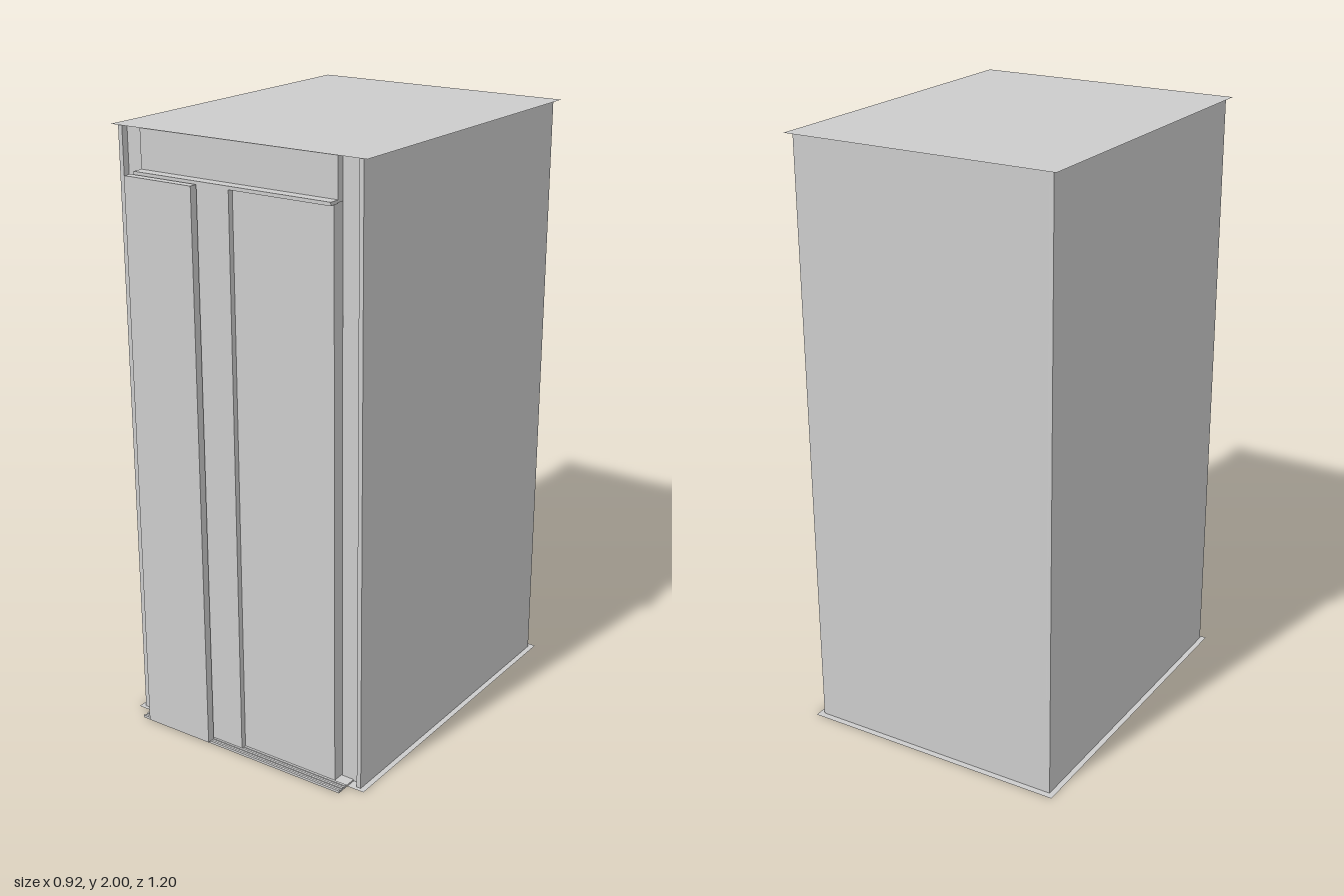
import * as THREE from 'three';

export function createModel() {
  const model = new THREE.Group();
  model.name = 'liftCabin';
  const steel = new THREE.MeshStandardMaterial({ color: 0xcccccc, side: THREE.DoubleSide });
  steel.name = 'grey steel';

  // Box given by its limits on each axis
  function box(name, [x0, x1], [y0, y1], [z0, z1]) {
    const mesh = new THREE.Mesh(new THREE.BoxGeometry(x1 - x0, y1 - y0, z1 - z0), steel);
    mesh.position.set((x0 + x1) / 2, (y0 + y1) / 2, (z0 + z1) / 2);
    mesh.name = name;
    model.add(mesh);
  }

  // Sheet-thin roof and floor, overhanging the walls
  function sheet(name, y, tilt) {
    const mesh = new THREE.Mesh(new THREE.PlaneGeometry(0.92, 1.142), steel);
    mesh.rotation.x = tilt;
    mesh.position.set(0, y, -0.029);
    mesh.name = name;
    model.add(mesh);
  }
  sheet('roof', 2, -Math.PI / 2);
  sheet('floor', 0, Math.PI / 2);

  // Walls and front jambs, mirrored
  const full = [0.001, 1.999];
  for (const [side, s] of [['left', 1], ['right', -1]]) {
    const span = (a, b) => (s > 0 ? [a, b] : [-b, -a]);
    box(side + 'Wall', span(0.427, 0.442), full, [-0.58, 0.53]);
    box(side + 'Jamb', span(0.357, 0.427), full, [0.49, 0.507]);
  }
  box('backWall', [-0.427, 0.427], full, [-0.58, -0.565]);

  // Panel above the door and the ledge below it
  box('transom', [-0.357, 0.357], [1.865, 1.999], [0.49, 0.53]);
  box('doorHeader', [-0.357, 0.357], [1.862, 1.873], [0.53, 0.566]);

  // Sliding door panels, stepped one behind the other
  box('rearDoorPanel', [0, 0.355], [0.008, 1.864], [0.5, 0.547]);
  box('middleDoorPanel', [-0.357, 0], [0.008, 1.864], [0.5, 0.566]);
  box('frontDoorPanel', [-0.365, -0.112], [0.008, 1.865], [0.573, 0.6]);

  // Threshold with raised guide ribs
  box('sill', [-0.4, 0.4], [0.0005, 0.006], [0.5, 0.59]);
  for (const z of [0.552, 0.569, 0.586]) {
    box('sillRib', [-0.4, 0.4], [0.006, 0.009], [z - 0.004, z + 0.004]);
  }

  return model;
}
